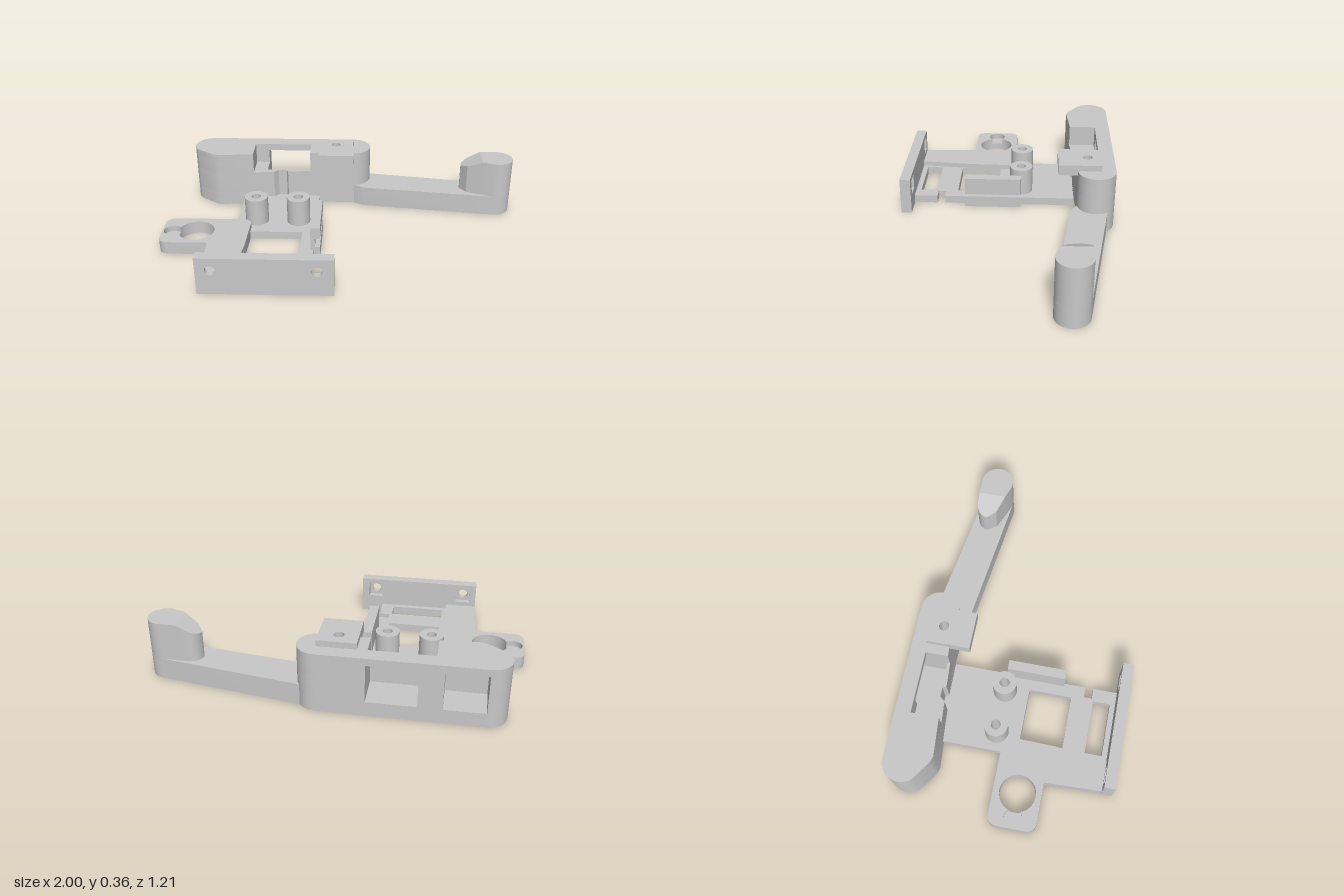
import * as THREE from 'three';
import { toCreasedNormals } from 'three/addons/utils/BufferGeometryUtils.js';

const grey = new THREE.MeshStandardMaterial({ color: 0xc8c8c8 });
grey.name = 'plain grey';

// Points of an arc in plan (x, z), angles in degrees, 90 points to the front
function arc(cx, cz, r, from, to, n = 20) {
  const pts = [];
  for (let i = 0; i <= n; i++) {
    const a = THREE.MathUtils.degToRad(from + (to - from) * i / n);
    pts.push([cx + r * Math.cos(a), cz + r * Math.sin(a)]);
  }
  return pts;
}
const circle = (cx, cz, r) => arc(cx, cz, r, 0, 348.75, 31);
const rect = (x0, z0, x1, z1) => [[x0, z0], [x1, z0], [x1, z1], [x0, z1]];

// Outline and holes are made to run in opposite directions, so hole walls face inwards
function extrude(outline, holes, depth) {
  const toVec = (pts, clockwise) => {
    const vecs = pts.map(p => new THREE.Vector2(p[0], p[1]));
    return THREE.ShapeUtils.isClockWise(vecs) === clockwise ? vecs : vecs.reverse();
  };
  const shape = new THREE.Shape(toVec(outline, false));
  holes.forEach(h => shape.holes.push(new THREE.Path(toVec(h, true))));
  return new THREE.ExtrudeGeometry(shape, { depth, bevelEnabled: false });
}

// Upright slab from a plan outline between two heights
function slabGeometry(outline, y0, y1, holes = []) {
  const flip = pts => pts.map(([x, z]) => [x, -z]);
  const geo = extrude(flip(outline), holes.map(flip), y1 - y0);
  return geo.rotateX(-Math.PI / 2).translate(0, y0, 0);
}

export function createModel() {
  const model = new THREE.Group();
  model.name = 'bracket';
  const add = (name, geo) => {
    const mesh = new THREE.Mesh(toCreasedNormals(geo, 0.5), grey);
    mesh.name = name;
    model.add(mesh);
  };
  const slab = (name, outline, y0, y1, holes) => add(name, slabGeometry(outline, y0, y1, holes));

  // Rear body, in layers around the pocket, the front slot and the two back windows
  const screw = circle(-0.045, -0.45, 0.027);
  const rightEnd = arc(0.055, -0.5, 0.105, -90, 90);
  const frontRight = [[-0.15, -0.4]];
  const slot = [[-0.335, -0.386], [-0.345, -0.407], [-0.395, -0.407], [-0.42, -0.378]];
  const leftEnd = [[-0.745, -0.35], [-0.78, -0.362], ...arc(-0.8, -0.5, 0.105, 140, 270)];
  const blindWindow = [[-0.799, -0.605], [-0.799, -0.43], [-0.585, -0.43], [-0.585, -0.605]];
  const openWindow = [[-0.46, -0.605], [-0.46, -0.412], [-0.2, -0.412], [-0.2, -0.605]];
  slab('bodyFoot', [...rightEnd, ...frontRight, ...leftEnd], 0, 0.045, [screw]);
  slab('bodyFloor', [...rightEnd, ...frontRight, ...slot, ...leftEnd], 0.045, 0.08, [screw]);
  slab('bodyLower', [...rightEnd, ...frontRight, ...slot, ...leftEnd, ...blindWindow, ...openWindow],
    0.08, 0.21, [screw]);
  slab('bodyUpperRight', [...rightEnd, ...frontRight, [-0.2, -0.396], [-0.2, -0.605]], 0.21, 0.29, [screw]);
  slab('bodyUpperLeft', [[-0.46, -0.605], [-0.46, -0.52], [-0.54, -0.52], [-0.54, -0.368],
    ...leftEnd, ...blindWindow], 0.21, 0.29);
  slab('bodyTop', [...rightEnd, ...frontRight, [-0.2, -0.396], [-0.2, -0.52], [-0.54, -0.52], [-0.54, -0.368],
    ...leftEnd], 0.29, 0.33, [screw]);

  // Square block over the screw hole
  slab('mountBlock', rect(-0.147, -0.525, 0.06, -0.288), 0.303, 0.363, [screw]);

  // Long arm and its end post with a sloped, sharp-edged shoulder
  slab('arm', [[0.02, -0.57], [0.15, -0.56], ...arc(0.91, -0.35, 0.09, -82, 97),
    [0.13, -0.36], [0.06, -0.398], [0.02, -0.42]], 0, 0.12);
  slab('armPost', [[0.82, -0.44], ...arc(0.91, -0.35, 0.09, -90, 105), [0.82, -0.288]], 0.12, 0.33);
  const shoulder = slabGeometry([[0.82, -0.44], ...arc(0.765, -0.375, 0.065, 270, 180, 8),
    [0.735, -0.325], [0.82, -0.288]], 0.12, 0.33);
  const pos = shoulder.attributes.position;
  for (let i = 0; i < pos.count; i++) {
    if (pos.getY(i) > 0.2) pos.setY(i, 0.33 - (0.82 - pos.getX(i)) * 0.5);
  }
  add('armPostShoulder', shoulder);

  // Base plate with two openings, an edge notch and two standoffs
  const standoffs = [-0.49, -0.25];
  slab('basePlate', [[-0.6, -0.38], [-0.147, -0.39], [-0.147, 0.365], [-0.205, 0.365], [-0.205, 0.41],
    [-0.147, 0.41], [-0.147, 0.55], [-0.6, 0.55]], 0, 0.045,
    [rect(-0.52, 0.055, -0.22, 0.295), rect(-0.52, 0.42, -0.22, 0.515),
      ...standoffs.map(x => circle(x, -0.08, 0.027))]);
  standoffs.forEach(x =>
    slab('standoff', circle(x, -0.08, 0.066), 0.045, 0.2, [circle(x, -0.08, 0.027)]));

  // Side tab and strip: through hole, with a shallow round recess beside it
  const tab = [...arc(-0.95, 0.015, 0.05, 180, 270, 8), ...arc(-0.56, 0.01, 0.045, -90, 0, 8),
    [-0.52, 0.25], [-0.545, 0.55], [-0.715, 0.55], [-0.727, 0.23], ...arc(-0.95, 0.18, 0.05, 90, 180, 8)];
  slab('tabLower', tab, 0, 0.04, [circle(-0.81, 0.1, 0.1)]);
  slab('tabUpper', tab, 0.04, 0.073,
    [[...arc(-0.81, 0.1, 0.1, -160.7, 160.7, 30), ...arc(-0.942, 0.1, 0.05, 41, 319)]]);

  // Grooved side rail
  [[0, 0.065, -0.11], [0.065, 0.115, -0.138], [0.115, 0.18, -0.11]].forEach(([y0, y1, x]) =>
    slab('sideRail', rect(-0.162, -0.08, x, 0.245), y0, y1));

  // Front plate: round holes in front, square nut pockets behind
  const holesX = [-0.64, -0.105];
  const face = rect(-0.717, 0, -0.02, 0.21);
  add('frontPlate', extrude(face, holesX.map(x => circle(x, 0.14, 0.027)), 0.03).translate(0, 0, 0.575));
  add('frontPlateBack', extrude(face, holesX.map(x => rect(x - 0.042, 0.098, x + 0.042, 0.182)), 0.03)
    .translate(0, 0, 0.545));

  return model;
}
